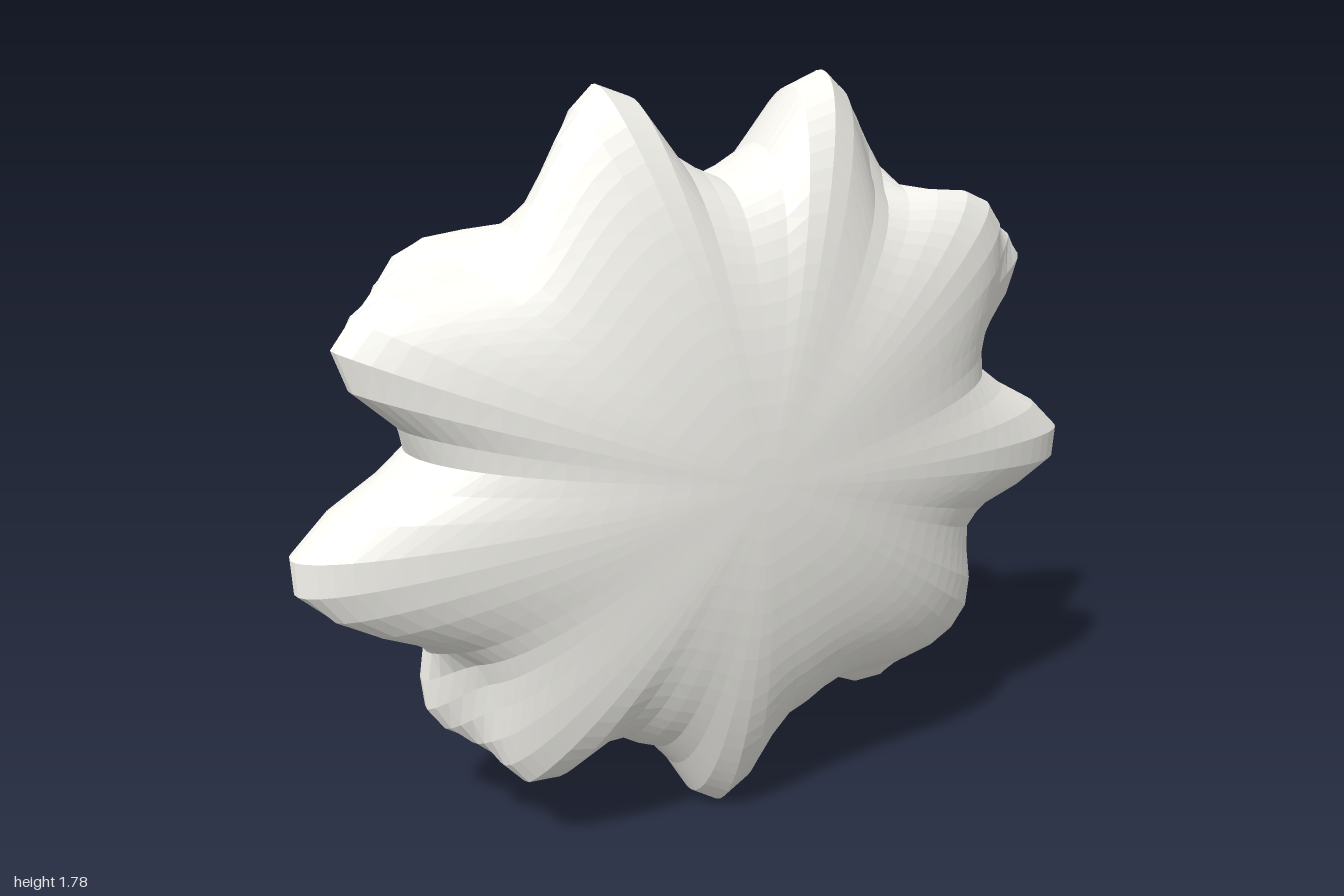
import * as THREE from 'three';

const CENTRE_Y = 0.92, HALF_DEPTH = 0.265;

// ridge and valley lines of the front half: [angle in degrees, radius], anticlockwise
const FRONT = [
  [-90, 0.92], [-76, 0.74], [-66, 0.72], [-38, 0.92], [-21, 0.78], [-7, 1.025], [10, 0.75],
  [35, 0.93], [55, 0.73], [73, 0.91], [84, 0.68], [90, 0.65], [96, 0.68], [107, 0.91],
  [135, 0.77], [158, 1.01], [170, 0.75], [187, 1.025], [212, 0.75], [235, 0.91],
  [246, 0.72], [256, 0.74], [270, 0.92],
];

// rounded ridges and valleys between the lines
function lobeRadius(angle) {
  const a = THREE.MathUtils.euclideanModulo(angle + 90, 360) - 90;
  let i = 0;
  while (i < FRONT.length - 2 && a > FRONT[i + 1][0]) i++;
  const [a0, r0] = FRONT[i], [a1, r1] = FRONT[i + 1];
  const t = (1 - Math.cos(Math.PI * (a - a0) / (a1 - a0))) / 2;
  return THREE.MathUtils.lerp(r0, r1, t);
}

export function createModel() {
  const group = new THREE.Group();
  group.name = 'lobedDisc';

  // flattened sphere with its poles on the z axis
  const sphere = new THREE.SphereGeometry(1, 80, 40);
  sphere.rotateX(Math.PI / 2);
  const pos = sphere.attributes.position;
  for (let i = 0; i < pos.count; i++) {
    const x = pos.getX(i), y = pos.getY(i), z = pos.getZ(i);
    const p = Math.hypot(x, y);
    const angle = THREE.MathUtils.radToDeg(Math.atan2(y, x));
    // the back half carries the front lobes turned half round the upright axis
    const front = lobeRadius(angle), back = lobeRadius(180 - angle);
    const w = THREE.MathUtils.smoothstep(z, -0.27, 0.27);
    const lobe = THREE.MathUtils.lerp(back, front, w);
    // lobes start as faint folds at the poles and swell towards the rim
    const r = THREE.MathUtils.lerp(0.82, lobe, 0.2 + 0.8 * p ** 3);
    pos.setXYZ(i, x * r, y * r + CENTRE_Y, z * HALF_DEPTH);
  }
  const geometry = sphere.toNonIndexed();
  geometry.computeVertexNormals();

  const body = new THREE.Mesh(
    geometry,
    new THREE.MeshStandardMaterial({ color: 0xf6f5ef, flatShading: true })
  );
  body.name = 'lobedBody';
  group.add(body);
  return group;
}
